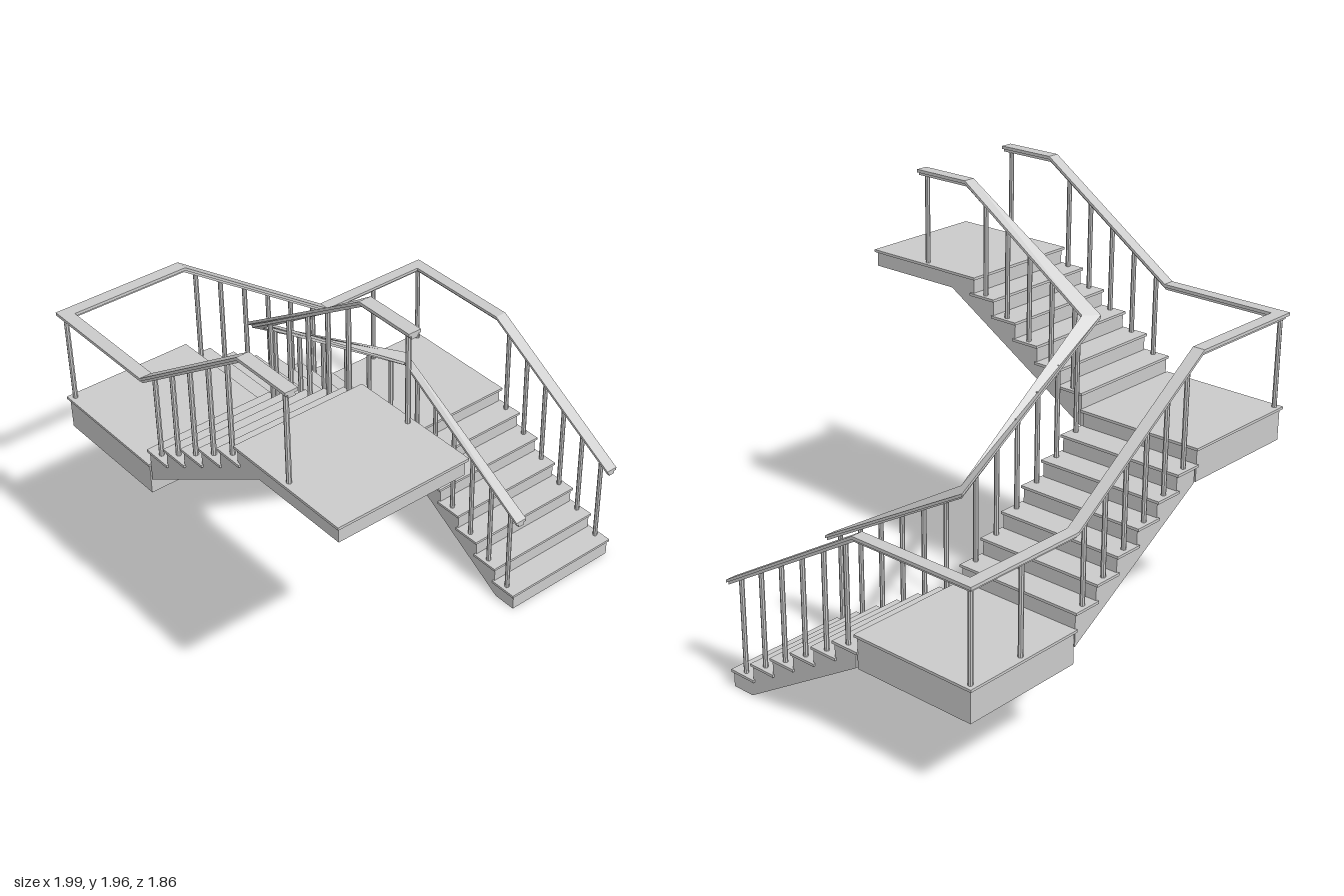
import * as THREE from 'three';

const mat = new THREE.MeshStandardMaterial({ color: 0xcccccc, flatShading: true });
const RISE = 0.076, RUN = 0.1267, WIDTH = 0.62, SLAB = 0.012, SIDE = 0.283;
const BASE = [0.008, 0.54, 1.072], TOP = 1.528; // floor level each flight starts from, last floor

function add(parent, name, geometry, x = 0, y = 0, z = 0) {
  const mesh = new THREE.Mesh(geometry, mat);
  mesh.name = name;
  mesh.position.set(x, y, z);
  parent.add(mesh);
  return mesh;
}

// Solid stepped body with sloping underside plus overhanging treads; climbs along local +x
function flight(name, base, treads) {
  const group = new THREE.Group();
  group.name = name;
  const end = 6 * RUN, low = -0.08, high = 0.377;
  const pts = [];
  if (base + low < 0) { // the lowest flight is cut off level with the ground
    const cut = (-base - low) / (high - low) * end;
    pts.push([0.006, -base], [cut, -base]);
  } else pts.push([0.006, low]);
  pts.push([end, high], [end, 6 * RISE - 0.006]);
  for (let i = 5; i >= 0; i--) {
    const u = i * RUN + 0.006;
    pts.push([u, (i + 1) * RISE - 0.006]);
    if (i > 0) pts.push([u, i * RISE - 0.006]);
  }
  const shape = new THREE.Shape(pts.map(p => new THREE.Vector2(...p)));
  const body = new THREE.ExtrudeGeometry(shape, { depth: WIDTH - 0.02, bevelEnabled: false });
  add(group, 'flightBody', body, 0, 0, -WIDTH / 2 + 0.01);
  for (let i = 0; i < treads; i++)
    add(group, 'tread', new THREE.BoxGeometry(0.14, SLAB, WIDTH), i * RUN + 0.07, (i + 1) * RISE - SLAB / 2, 0);
  return group;
}

// Square landing: body and thin overhanging floor slab
function landing(name, x, y, z, thick) {
  const group = new THREE.Group();
  group.name = name;
  add(group, 'landingBody', new THREE.BoxGeometry(WIDTH - 0.02, thick - 0.006, WIDTH - 0.02), 0, -0.006 - (thick - 0.006) / 2, 0);
  add(group, 'landingFloor', new THREE.BoxGeometry(WIDTH, SLAB, WIDTH), 0, -SLAB / 2, 0);
  group.position.set(x, y, z);
  return group;
}

// Rectangular bar swept along a path, mitred at the corners
function bar(path, width, top, bottom) {
  const dir = (a, b) => new THREE.Vector2(b[0] - a[0], b[2] - a[2]).normalize();
  const pos = [], idx = [], n = path.length;
  path.forEach((p, i) => {
    const d0 = dir(path[Math.max(i - 1, 0)], path[Math.max(i, 1)]);
    const d1 = dir(path[Math.min(i, n - 2)], path[Math.min(i + 1, n - 1)]);
    const k = width / 2 / (1 + d0.dot(d1));
    const sx = -(d0.y + d1.y) * k, sz = (d0.x + d1.x) * k;
    for (const [s, h] of [[1, bottom], [1, top], [-1, top], [-1, bottom]])
      pos.push(p[0] + s * sx, p[1] + h, p[2] + s * sz);
  });
  for (let i = 0; i < n - 1; i++)
    for (let j = 0; j < 4; j++) {
      const a = i * 4 + j, b = i * 4 + (j + 1) % 4;
      idx.push(a, a + 4, b, b, a + 4, b + 4);
    }
  const e = (n - 1) * 4;
  idx.push(0, 1, 2, 0, 2, 3, e, e + 2, e + 1, e, e + 3, e + 2);
  const g = new THREE.BufferGeometry();
  g.setAttribute('position', new THREE.Float32BufferAttribute(pos, 3));
  g.setIndex(idx);
  const flat = g.toNonIndexed();
  flat.computeVertexNormals();
  return flat;
}

// Height of a rail path above the plan point (x, z)
function railHeight(path, x, z) {
  let best = Infinity, y = 0;
  for (let i = 0; i < path.length - 1; i++) {
    const [a, b] = [path[i], path[i + 1]];
    const dx = b[0] - a[0], dz = b[2] - a[2];
    const t = THREE.MathUtils.clamp(((x - a[0]) * dx + (z - a[2]) * dz) / (dx * dx + dz * dz), 0, 1);
    const d = Math.hypot(a[0] + t * dx - x, a[2] + t * dz - z);
    if (d < best) { best = d; y = a[1] + t * (b[1] - a[1]); }
  }
  return y;
}

export function createModel() {
  const model = new THREE.Group();
  model.name = 'staircase';
  const cx = 0.685, cz = -0.62;

  // Three flights turning around a U
  const flights = [
    ['lowerFlight', cx, 0.45, Math.PI / 2, 6],
    ['middleFlight', 0.385, cz, Math.PI, 6],
    ['upperFlight', -cx, -0.315, -Math.PI / 2, 5],
  ];
  flights.forEach(([name, x, z, turn, treads], i) => {
    const f = flight(name, BASE[i], treads);
    f.position.set(x, BASE[i], z);
    f.rotation.y = turn;
    model.add(f);
  });

  // Landings
  model.add(landing('lowerLanding', cx, BASE[1], cz, 0.155));
  model.add(landing('middleLanding', -cx, BASE[2], cz, 0.155));
  model.add(landing('topLanding', -cx, TOP, 0.615, 0.078));

  // Handrails: wide cap over a narrower bar
  const xo = cx + SIDE, xi = cx - SIDE, zo = cz - SIDE, zi = cz + SIDE;
  const h0 = 0.512, h1 = 0.968, h2 = 1.5, h3 = 1.957;
  const outer = [[xo, h0, 0.45], [xo, h1, -0.315], [xo, h1, zo], [0.385, h1, zo], [-0.385, h2, zo],
    [-xo, h2, zo], [-xo, h2, -0.315], [-xo, h3, 0.36], [-xo, h3, 0.645]];
  const inner = [[xi, h0, 0.45], [xi, h1, zi], [-xi, h2, zi], [-xi, h3, 0.36], [-xi, h3, 0.645]];
  for (const [name, path] of [['outerHandrail', outer], ['innerHandrail', inner]]) {
    add(model, name, bar(path, 0.057, 0, -0.014));
    add(model, name + 'Base', bar(path, 0.032, -0.014, -0.028));
  }

  // Balusters reach from the floor up into the rail
  const post = (path, x, z, floor) => {
    const top = railHeight(path, x, z) - 0.02;
    add(model, 'baluster', new THREE.CylinderGeometry(0.011, 0.011, top - floor, 8), x, (top + floor) / 2, z);
  };
  for (let i = 0; i < 6; i++) {
    const u = 0.068 + i * RUN, rise = (i + 1) * RISE;
    for (const path of [outer, inner]) {
      const isOuter = path === outer, x = isOuter ? xo : xi;
      post(path, x, 0.45 - u, BASE[0] + rise);
      post(path, 0.385 - u, isOuter ? zo : zi, BASE[1] + rise);
      if (i < 5) post(path, -x, -0.315 + u, BASE[2] + rise);
    }
  }
  post(outer, xo, zo, BASE[1]);
  post(outer, cx, zo, BASE[1]);
  post(outer, -xo, zo, BASE[2]);
  post(outer, -xo, 0.61, TOP);
  post(inner, -xi, 0.61, TOP);
  return model;
}
